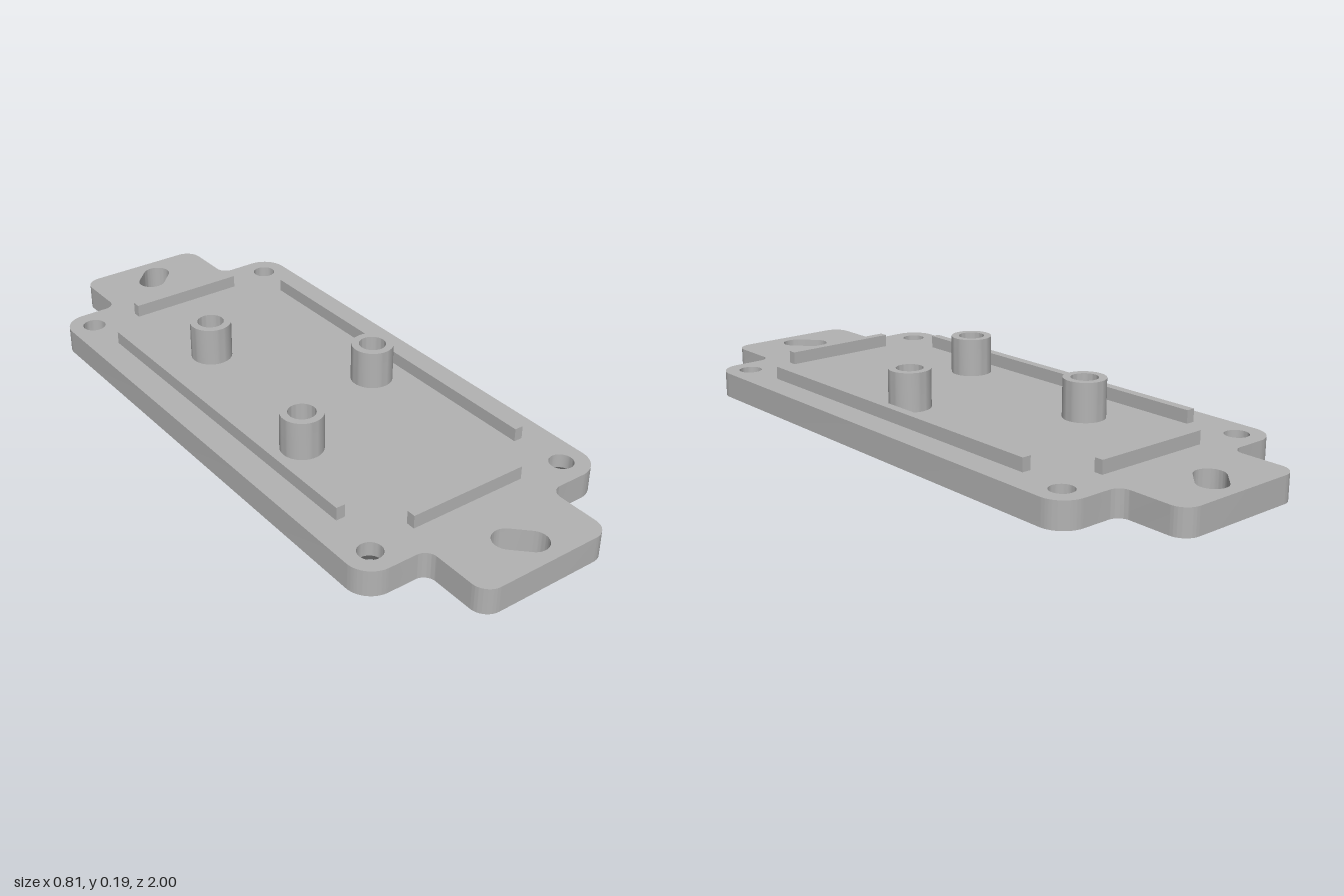
import * as THREE from 'three';
import { mergeGeometries, toCreasedNormals } from 'three/addons/utils/BufferGeometryUtils.js';

const PLATE = 0.077, RIB = 0.116, POST = 0.193;
const SINK = 0.035; // countersink depth
const CREASE = 0.6;

// Closed outline from [x, y, cornerRadius] points, counter-clockwise
function roundedOutline(pts) {
  const shape = new THREE.Shape();
  pts.forEach(([x, y, r], i) => {
    const p = new THREE.Vector2(x, y);
    const a = pts[(i + pts.length - 1) % pts.length], b = pts[(i + 1) % pts.length];
    const d1 = p.clone().sub(new THREE.Vector2(a[0], a[1])).normalize();
    const d2 = new THREE.Vector2(b[0], b[1]).sub(p).normalize();
    const c = p.clone().addScaledVector(d1, -r).addScaledVector(d2, r);
    shape.absarc(c.x, c.y, r, Math.atan2(-d2.y, -d2.x), Math.atan2(d1.y, d1.x), d1.cross(d2) < 0);
  });
  shape.closePath();
  return shape;
}

function circle(x, y, r) {
  return new THREE.Path().absarc(x, y, r, 0, Math.PI * 2, true);
}

// Slanted slot, clockwise
function slot(x, y, angle) {
  const r = 0.043, half = 0.031, q = Math.PI / 2;
  const ox = Math.cos(angle) * half, oy = Math.sin(angle) * half;
  const path = new THREE.Path();
  path.absarc(x + ox, y + oy, r, angle + q, angle - q, true);
  path.absarc(x - ox, y - oy, r, angle - q, angle - 3 * q, true);
  path.closePath();
  return path;
}

// Strip of wall between two matching loops at heights z0 and z1
function wall(low, z0, high, z1) {
  const a = low.getPoints(16), b = high.getPoints(16), pos = [];
  for (let i = 0; i < a.length - 1; i++) {
    const j = i + 1;
    pos.push(a[i].x, a[i].y, z0, a[j].x, a[j].y, z0, b[j].x, b[j].y, z1);
    pos.push(a[i].x, a[i].y, z0, b[j].x, b[j].y, z1, b[i].x, b[i].y, z1);
  }
  const g = new THREE.BufferGeometry();
  g.setAttribute('position', new THREE.Float32BufferAttribute(pos, 3));
  return g;
}

function cap(outline, holes, z, flip) {
  const shape = outline.clone();
  shape.holes = holes;
  const g = new THREE.ShapeGeometry(shape, 16);
  if (flip) g.setIndex(Array.from(g.index.array).reverse());
  g.deleteAttribute('uv');
  g.deleteAttribute('normal');
  return g.translate(0, 0, z).toNonIndexed();
}

function plateGeometry() {
  const W = 0.405, L = 0.79, T = 0.21, rb = 0.075, rf = 0.035, rt = 0.05;
  const outline = roundedOutline([
    [-T, -1, rt], [T, -1, rt], [T, -L, rf], [W, -L, rb], [W, L, rb], [T, L, rf],
    [T, 1, rt], [-T, 1, rt], [-T, L, rf], [-W, L, rb], [-W, -L, rb], [-T, -L, rf],
  ]);
  const slots = [slot(0, 0.897, Math.PI / 4), slot(0, -0.897, -Math.PI / 4)];
  const small = [], large = [];
  for (const sx of [-1, 1]) for (const sy of [-1, 1]) {
    small.push(circle(sx * 0.328, sy * 0.712, 0.035));
    large.push(circle(sx * 0.328, sy * 0.712, 0.063));
  }
  const parts = [
    cap(outline, [...slots, ...small], PLATE, false),
    cap(outline, [...slots, ...large], 0, true),
    wall(outline, 0, outline, PLATE),
    ...slots.map((s) => wall(s, 0, s, PLATE)),
  ];
  // countersunk screw holes
  small.forEach((s, i) => parts.push(wall(large[i], 0, s, SINK), wall(s, SINK, s, PLATE)));
  const g = mergeGeometries(parts).rotateX(-Math.PI / 2);
  return toCreasedNormals(g, CREASE);
}

export function createModel() {
  const group = new THREE.Group();
  const grey = new THREE.MeshStandardMaterial({ color: 0xb3b3b3 });
  grey.name = 'grey';
  const add = (name, geometry, x = 0, y = 0, z = 0) => {
    const mesh = new THREE.Mesh(geometry, grey);
    mesh.name = name;
    mesh.position.set(x, y, z);
    group.add(mesh);
  };

  add('basePlate', plateGeometry());

  // Locating ribs along the sides and ends
  const h = RIB - PLATE, y = PLATE + h / 2;
  for (const s of [-1, 1]) {
    add('sideRib', new THREE.BoxGeometry(0.027, h, 1.13), s * 0.308, y, 0);
    add('endRib', new THREE.BoxGeometry(0.368, h, 0.027), 0, y, s * 0.692);
  }

  // Hollow mounting posts
  const profile = [[0.0625, PLATE], [0.0625, POST], [0.04, POST], [0.04, PLATE]]
    .map(([r, py]) => new THREE.Vector2(r, py));
  const post = toCreasedNormals(new THREE.LatheGeometry(profile, 48), CREASE);
  for (const [x, z] of [[-0.124, -0.333], [0.188, 0.063], [-0.198, 0.245]]) {
    add('mountingPost', post, x, 0, z);
  }
  return group;
}
